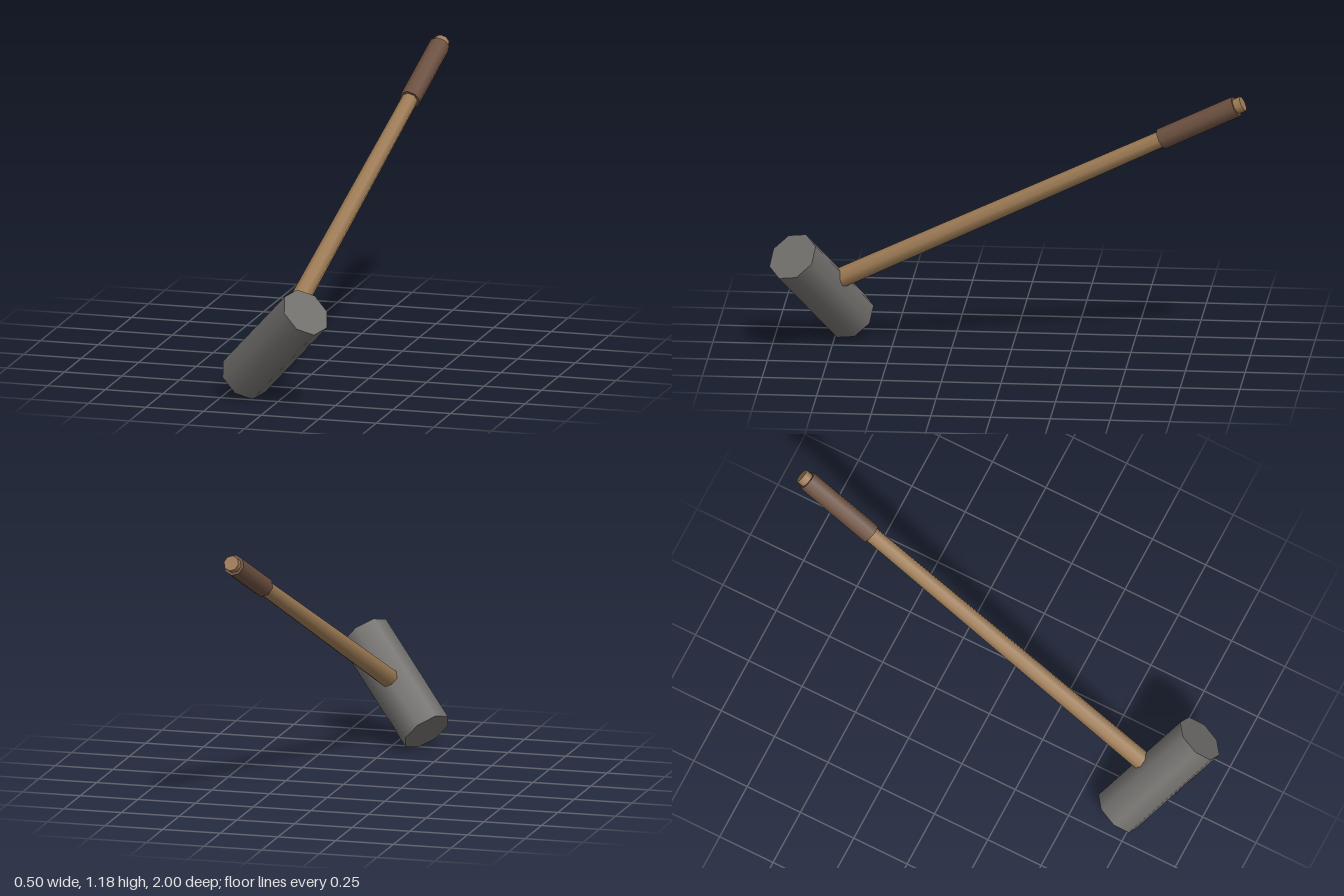
import * as THREE from 'three';

const material = (name, color) => {
  const m = new THREE.MeshStandardMaterial({ color });
  m.name = name;
  return m;
};

export function createModel() {
  const steel = material('dark grey steel', 0x6f6d6a);
  const wood = material('brown wood', 0x9c7a54);
  const leather = material('dark brown leather', 0x6b4f3f);

  const hammer = new THREE.Group();
  hammer.name = 'sledgehammer';

  // Eight-sided rod along local y, from y0 to y1
  const rod = (name, mat, y0, y1, r0, r1) => {
    const geo = new THREE.CylinderGeometry(r1, r0, y1 - y0, 8);
    geo.translate(0, (y0 + y1) / 2, 0);
    const mesh = new THREE.Mesh(geo, mat);
    mesh.name = name;
    hammer.add(mesh);
    return mesh;
  };

  // Handle runs up from the centre of the head and shows past the grip
  rod('handle', wood, 0, 2.007, 0.043, 0.033);
  rod('grip', leather, 1.618, 1.975, 0.045, 0.045);

  // Head lies across the handle, along local x
  const head = rod('head', steel, -0.2625, 0.2625, 0.11, 0.11);
  head.rotation.set(-Math.PI / 2, 0, -Math.PI / 2);

  // Lean the hammer so that it rests on its head
  const up = new THREE.Vector3(0.103, 0.448, -0.887).normalize();
  const across = new THREE.Vector3(0.33, 0.35, 0.21);
  across.addScaledVector(up, -across.dot(up)).normalize();
  const side = new THREE.Vector3().crossVectors(across, up);
  hammer.quaternion.setFromRotationMatrix(new THREE.Matrix4().makeBasis(across, up, side));
  hammer.position.set(0, 0.256, 0.795);

  const model = new THREE.Group();
  model.name = 'model';
  model.add(hammer);
  return model;
}
